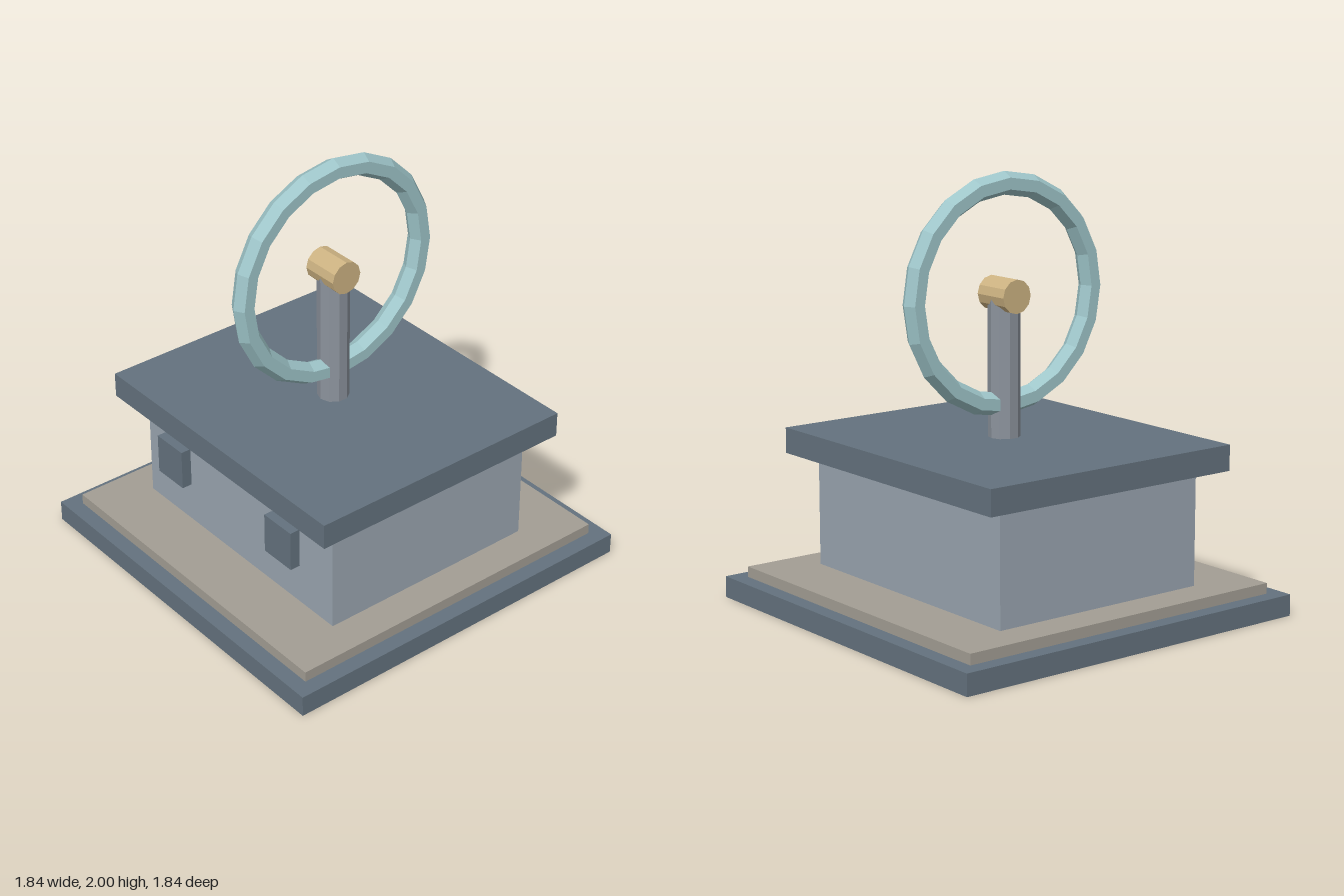
import * as THREE from 'three';

const paint = (name, color, flat = false) => {
  const m = new THREE.MeshStandardMaterial({ color, flatShading: flat });
  m.name = name;
  return m;
};

export function createModel() {
  const slate = paint('slate', 0x64727e);
  const wall = paint('paleGrey', 0x9aa5b0);
  const stone = paint('warmStone', 0xa39e94);
  const steel = paint('steel', 0x8c939d, true);
  const brass = paint('brass', 0xcdb382, true);
  const aqua = paint('aqua', 0x9fc6ca, true);

  const model = new THREE.Group();
  model.name = 'ringMonument';

  const add = (name, geometry, material, x, y, z) => {
    const mesh = new THREE.Mesh(geometry, material);
    mesh.name = name;
    mesh.position.set(x, y, z);
    model.add(mesh);
    return mesh;
  };
  // Box resting between two heights
  const slab = (name, material, w, d, y0, y1, x = 0, z = 0) =>
    add(name, new THREE.BoxGeometry(w, y1 - y0, d), material, x, (y0 + y1) / 2, z);

  // Stepped base, block and roof
  slab('base', slate, 1.84, 1.84, 0, 0.1);
  slab('step', stone, 1.69, 1.69, 0.1, 0.15);
  slab('walls', wall, 1.35, 1.11, 0.15, 0.68);
  slab('roof', slate, 1.53, 1.35, 0.68, 0.8);

  // Two panels standing just clear of the front wall
  for (const side of [-1, 1]) {
    slab(side > 0 ? 'leftPanel' : 'rightPanel', slate, 0.184, 0.05, 0.39, 0.585, side * 0.398, 0.615);
  }

  // Post with a crosswise hub
  const hubY = 1.447;
  add('post', new THREE.CylinderGeometry(0.074, 0.074, hubY - 0.8, 10), steel, 0, (hubY + 0.8) / 2, 0);
  const hub = add('hub', new THREE.CylinderGeometry(0.078, 0.078, 0.185, 12), brass, 0, hubY, 0);
  hub.rotation.z = Math.PI / 2;

  // Six-sided ring around the hub
  const ring = add('ring', new THREE.TorusGeometry(0.5, 0.053, 6, 20), aqua, 0, hubY, 0);
  ring.rotation.y = Math.PI / 2;

  return model;
}
